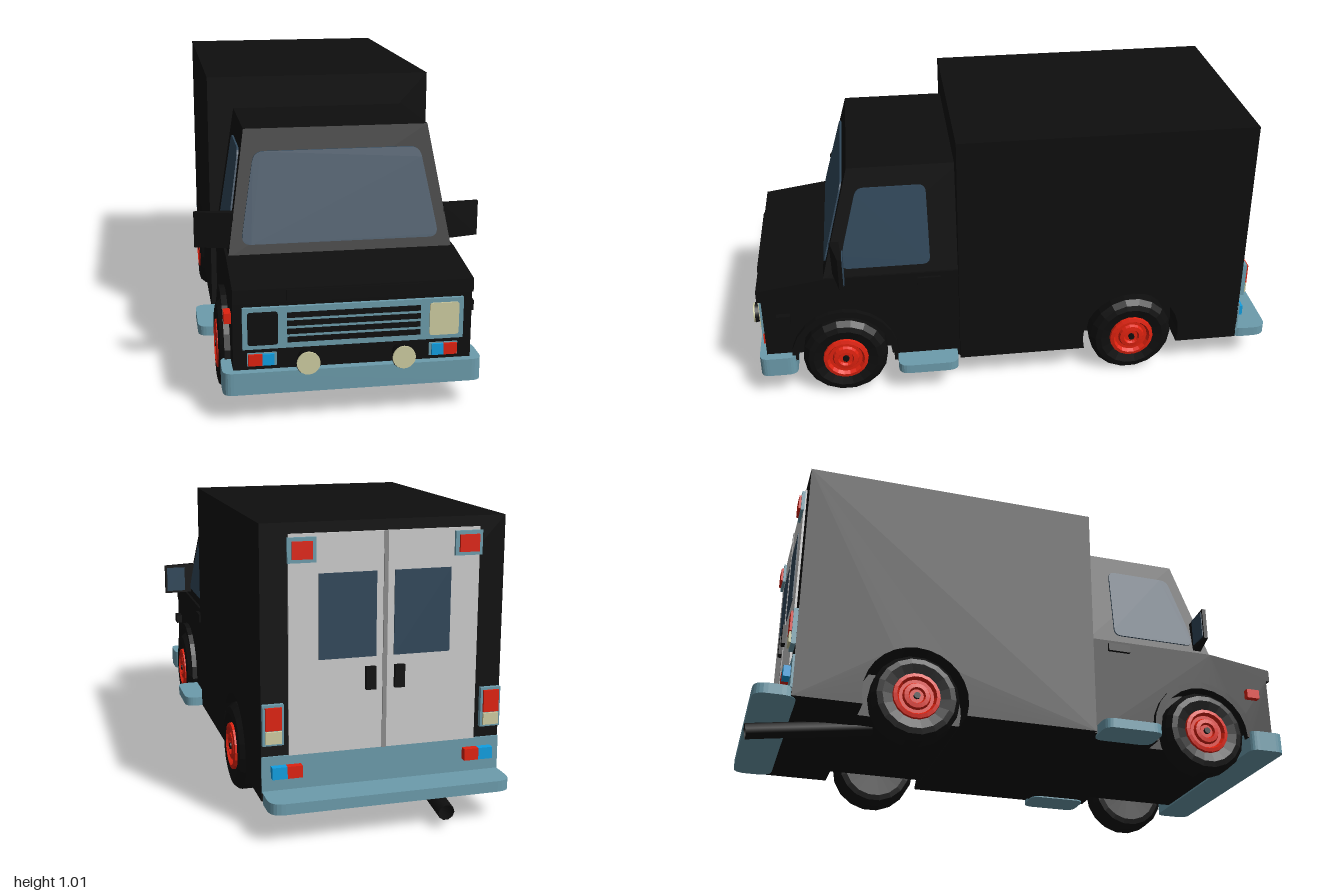
import * as THREE from 'three';

const mat = (name, color, extra = {}) => Object.assign(new THREE.MeshStandardMaterial({ color, ...extra }), { name });

export function createModel() {
  const model = new THREE.Group();
  model.name = 'boxVan';
  const black = mat('black paint', 0x0e0e0e);
  const trim = mat('blue grey trim', 0x6c9cac);
  const glass = mat('dark glass', 0x30475a);
  const red = mat('red', 0xe0220f);
  const blue = mat('blue lens', 0x109fe2);
  const cream = mat('cream lens', 0xcfcda2);
  const white = mat('door white', 0xcccccc);
  const grey = mat('seam grey', 0x8c8c8c);

  const add = (name, geo, material, parent = model) => {
    const mesh = new THREE.Mesh(geo, material);
    mesh.name = name;
    parent.add(mesh);
    return mesh;
  };
  // Box given by its limits on each axis
  const box = (name, m, [x0, x1], [y0, y1], [z0, z1]) => {
    const mesh = add(name, new THREE.BoxGeometry(Math.abs(x1 - x0), y1 - y0, Math.abs(z1 - z0)), m);
    mesh.position.set((x0 + x1) / 2, (y0 + y1) / 2, (z0 + z1) / 2);
    return mesh;
  };
  const polygon = pts => new THREE.Shape(pts.map(p => new THREE.Vector2(...p)));
  // Polygon with its corners rounded by r
  const rounded = (pts, r) => {
    const s = new THREE.Shape(), v = pts.map(p => new THREE.Vector2(...p));
    v.forEach((p, i) => {
      const prev = v[(i + v.length - 1) % v.length], next = v[(i + 1) % v.length];
      const a = p.clone().add(prev.clone().sub(p).setLength(r));
      const b = p.clone().add(next.clone().sub(p).setLength(r));
      i ? s.lineTo(a.x, a.y) : s.moveTo(a.x, a.y);
      s.quadraticCurveTo(p.x, p.y, b.x, b.y);
    });
    s.closePath();
    return s;
  };
  const rect = (x0, x1, y0, y1) => [[x0, y0], [x1, y0], [x1, y1], [x0, y1]];
  const extrude = (shape, depth) =>
    new THREE.ExtrudeGeometry(shape, { depth, bevelEnabled: false, curveSegments: 6 });
  // Side profile (points are -z, y) swept across x
  const sweepX = (name, m, shape, x0, x1) =>
    add(name, extrude(shape, x1 - x0).rotateY(Math.PI / 2).translate(x0, 0, 0), m);
  // Plan outline (points are x, z) raised from y0 to y1
  const sweepY = (name, m, shape, y0, y1) =>
    add(name, extrude(shape, y1 - y0).rotateX(Math.PI / 2).translate(0, y1, 0), m);

  const FRONT = 0.65, REAR = -0.44, AXLE = 0.157, ARCH = 0.1875;
  // Side profile with a wheel arch cut into its bottom edge
  const archedProfile = (bottomRear, bottomFront, upper, zc) => {
    const pts = [[-bottomFront, 0.11]];
    const a0 = Math.asin((0.11 - AXLE) / ARCH);
    for (let i = 0; i <= 16; i++) {
      const a = a0 + (Math.PI - 2 * a0) * i / 16;
      pts.push([-(zc + ARCH * Math.cos(a)), AXLE + ARCH * Math.sin(a)]);
    }
    pts.push([-bottomRear, 0.11], ...upper.map(([z, y]) => [-z, y]));
    return polygon(pts);
  };

  // Cargo box, lower cab and chassis
  sweepX('cargoBox', black, archedProfile(-0.86, 0.22, [[-0.86, 1.01], [0.22, 1.01]], REAR), -0.41, 0.41);
  sweepX('lowerCab', black, archedProfile(0.22, 0.94,
    [[0.22, 0.49], [0.71, 0.49], [0.955, 0.455], [0.955, 0.41], [0.94, 0.41]], FRONT), -0.39, 0.39);
  box('rearChassis', black, [-0.3, 0.3], [0.112, 0.27], [-0.84, 0.21]);
  box('frontChassis', black, [-0.3, 0.3], [0.112, 0.36], [0.2, 0.93]);
  box('hoodPanel', black, [-0.22, 0.22], [0.415, 0.45], [0.95, 0.96]);

  // Upper cab: a box narrowed towards the roof
  const cab = new THREE.BoxGeometry(1, 1, 1), cp = cab.attributes.position;
  for (let i = 0; i < cp.count; i++) {
    const top = cp.getY(i) > 0, front = cp.getZ(i) > 0;
    cp.setXYZ(i, Math.sign(cp.getX(i)) * (top ? 0.316 : 0.382), top ? 0.895 : 0.48,
      front ? (top ? 0.6 : 0.713) : 0.2);
  }
  cab.computeVertexNormals();
  add('upperCab', cab, black);

  // Windscreen laid on the sloping cab front
  const bend = (geo, rule) => {
    const p = geo.attributes.position;
    for (let i = 0; i < p.count; i++) p.setXYZ(i, ...rule(p.getX(i), p.getY(i), p.getZ(i)));
    geo.computeVertexNormals();
    return geo;
  };
  const screen = rounded([[-0.338, 0.523], [0.338, 0.523], [0.285, 0.822], [-0.285, 0.822]], 0.035);
  add('windscreen', bend(extrude(screen, 0.006), (u, v, w) => [u, v, 0.713 - (v - 0.48) * 0.272 + w]), glass);

  // Wheel built around y, then turned outward
  const lathe = pts => new THREE.LatheGeometry(pts.map(p => new THREE.Vector2(...p)), 18).toNonIndexed();
  const tyre = lathe([[0, -0.05], [0.12, -0.055], [0.14, -0.05], [0.157, -0.03], [0.157, 0.03],
    [0.14, 0.05], [0.12, 0.055], [0.083, 0.045]]);
  const rim = lathe([[0.086, 0.035], [0.083, 0.055], [0.07, 0.058], [0.062, 0.045], [0.05, 0.045],
    [0.045, 0.055], [0.03, 0.057], [0.025, 0.048], [0, 0.048]]);
  [tyre, rim].forEach(g => g.computeVertexNormals());

  for (const s of [-1, 1]) {
    const X = (a, b) => [s * a, s * b];
    for (const z of [FRONT, REAR]) {
      const wheel = new THREE.Group();
      wheel.name = z > 0 ? 'frontWheel' : 'rearWheel';
      add('tyre', tyre, black, wheel);
      add('rim', rim, red, wheel);
      add('hub', new THREE.CylinderGeometry(0.012, 0.012, 0.012, 8).translate(0, 0.052, 0), black, wheel);
      wheel.position.set(s * 0.37, AXLE, z);
      wheel.rotation.z = -s * Math.PI / 2;
      model.add(wheel);
    }
    // Front arch lip
    const lip = new THREE.Shape();
    lip.absarc(-FRONT, AXLE, 0.2, 0, Math.PI, false);
    lip.absarc(-FRONT, AXLE, 0.175, Math.PI, 0, true);
    sweepX('frontArchLip', black, lip, s > 0 ? 0.385 : -0.41, s > 0 ? 0.41 : -0.385);

    // Side window, door handle, step and marker
    const win = rounded([[0.642, 0.523], [0.632, 0.6], [0.572, 0.822], [0.325, 0.822], [0.32, 0.523]]
      .map(([z, y]) => [-s * z, y]), 0.028);
    add('sideWindow', bend(extrude(win, 0.006),
      (u, v, w) => [s * (0.382 - (v - 0.48) * 0.159 + w), v, -s * u]), glass);
    box('doorHandle', black, X(0.385, 0.402), [0.445, 0.475], [0.285, 0.37]);
    sweepY('sideStep', trim, rounded(rect(...(s > 0 ? [0.34, 0.475] : [-0.475, -0.34]), 0.23, 0.455), 0.04), 0.105, 0.14);
    box('sideMarker', s > 0 ? black : red, X(0.385, 0.413), [0.32, 0.355], [0.84, 0.89]);

    // Wing mirror with glass on the rear face
    sweepY('mirror', black, polygon([[0.36, 0.68], [0.49, 0.65], [0.49, 0.635], [0.36, 0.645]]
      .map(([x, z]) => [s * x, z])), 0.505, 0.627);
    box('mirrorGlass', glass, X(0.405, 0.482), [0.515, 0.617], [0.632, 0.637]);

    // Front lamps
    sweepYless(s);
    const fog = add('fogLampBody', new THREE.CylinderGeometry(0.04, 0.028, 0.05, 20).rotateX(Math.PI / 2), black);
    fog.position.set(s * 0.155, 0.215, 0.968);
    const lens = add('fogLampLens', new THREE.CylinderGeometry(0.038, 0.038, 0.006, 20).rotateX(Math.PI / 2), cream);
    lens.position.set(s * 0.155, 0.215, 0.996);
    box('signalBezel', trim, X(0.25, 0.345), [0.193, 0.237], [0.93, 0.944]);
    box('signalRed', red, X(0.297, 0.342), [0.196, 0.234], [0.935, 0.952]);
    box('signalBlue', blue, X(0.258, 0.297), [0.196, 0.234], [0.935, 0.952]);

    // Rear doors
    box('rearDoor', white, X(0.006, 0.32), [0.26, 0.975], [-0.868, -0.858]);
    box('rearDoorWindow', glass, X(0.03, 0.222), [0.57, 0.848], [-0.871, -0.866]);
    box('rearDoorHandle', black, X(0.032, 0.066), [0.462, 0.538], [-0.882, -0.866]);

    // Rear lamps
    box('upperLampBezel', trim, X(0.232, 0.325), [0.885, 0.965], [-0.878, -0.866]);
    box('upperLampLens', red, X(0.245, 0.312), [0.897, 0.953], [-0.886, -0.876]);
    box('tailLampBezel', trim, X(0.338, 0.408), [0.3, 0.435], [-0.876, -0.858]);
    box('tailLampRed', red, X(0.346, 0.4), [0.352, 0.427], [-0.884, -0.874]);
    box('tailLampCream', cream, X(0.346, 0.4), [0.308, 0.348], [-0.884, -0.874]);
    box('lowerLampRed', red, X(0.28, 0.33), [0.19, 0.23], [-0.89, -0.86]);
    box('lowerLampBlue', blue, X(0.33, 0.38), [0.19, 0.23], [-0.89, -0.86]);
  }

  // Headlamp: the left has a cream lens, the right is dark
  function sweepYless(s) {
    const shape = rounded(rect(...(s > 0 ? [0.247, 0.344] : [-0.344, -0.247]), 0.268, 0.378), 0.01);
    add('headlamp', extrude(shape, 0.006).translate(0, 0, 0.951), s > 0 ? cream : black);
  }

  // Grille frame with dark slots
  box('grilleFrame', trim, [-0.36, 0.36], [0.253, 0.392], [0.93, 0.952]);
  for (let i = 0; i < 4; i++) {
    const y = 0.272 + i * 0.0275;
    box('grilleSlot', black, [-0.217, 0.217], [y, y + 0.018], [0.95, 0.955]);
  }

  // Bumpers, rear sill and door seam
  sweepY('frontBumper', trim, rounded(rect(-0.425, 0.425, 0.83, 0.967), 0.035), 0.105, 0.18);
  sweepY('rearBumper', trim, rounded(rect(-0.41, 0.41, -0.985, -0.84), 0.05), 0.108, 0.145);
  box('rearSill', trim, [-0.41, 0.41], [0.14, 0.26], [-0.866, -0.858]);
  box('doorSeam', grey, [-0.007, 0.007], [0.26, 0.975], [-0.872, -0.858]);

  // Exhaust pipe
  const pipe = new THREE.CatmullRomCurve3([[-0.55, 0.12], [-0.75, 0.09], [-0.92, 0.065], [-0.985, 0.055]]
    .map(([z, y]) => new THREE.Vector3(-0.18, y, z)));
  add('exhaust', new THREE.TubeGeometry(pipe, 10, 0.028, 10), mat('exhaust black', 0x0e0e0e, { side: THREE.DoubleSide }));

  return model;
}
